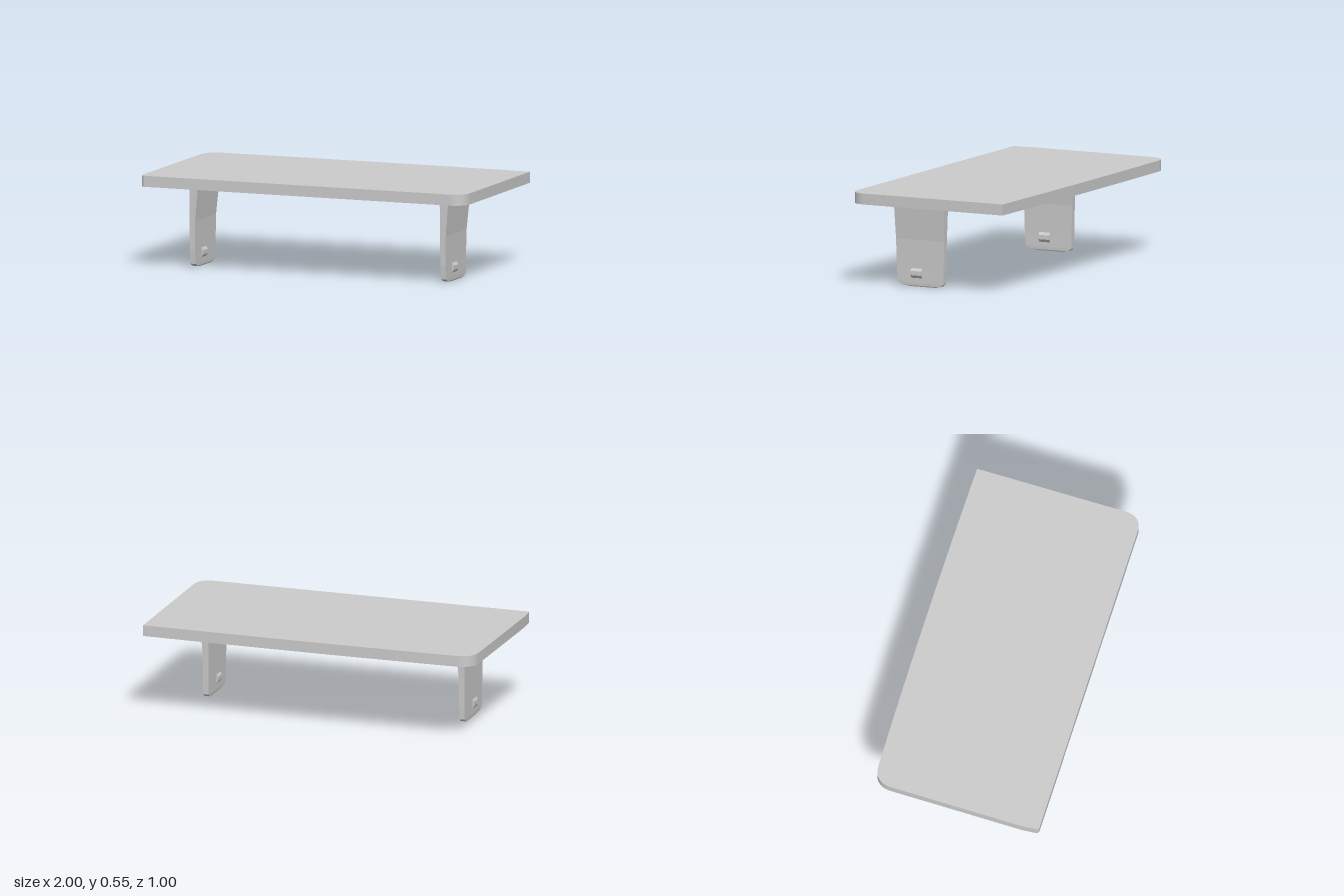
import * as THREE from 'three';
import { toCreasedNormals } from 'three/addons/utils/BufferGeometryUtils.js';

const material = new THREE.MeshStandardMaterial({ color: 0xcccccc });
const flatMaterial = new THREE.MeshStandardMaterial({ color: 0xcccccc, flatShading: true });

// Closed loft through rectangles listed bottom to top: [y, x0, x1, z0, z1]
function loft(rows) {
  const positions = [];
  const index = [];
  for (const [y, x0, x1, z0, z1] of rows) {
    positions.push(x0, y, z1, x1, y, z1, x1, y, z0, x0, y, z0);
  }
  for (let r = 0; r < rows.length - 1; r++) {
    for (let i = 0; i < 4; i++) {
      const a = r * 4 + i, b = r * 4 + (i + 1) % 4;
      index.push(a, b, b + 4, a, b + 4, a + 4);
    }
  }
  const t = (rows.length - 1) * 4;
  index.push(0, 2, 1, 0, 3, 2, t, t + 1, t + 2, t, t + 2, t + 3);
  const geometry = new THREE.BufferGeometry();
  geometry.setAttribute('position', new THREE.Float32BufferAttribute(positions, 3));
  geometry.setIndex(index);
  const flat = geometry.toNonIndexed();
  flat.computeVertexNormals();
  return flat;
}

function add(parent, name, geometry, mat = flatMaterial) {
  const mesh = new THREE.Mesh(geometry, mat);
  mesh.name = name;
  parent.add(mesh);
  return mesh;
}

// Slab with two rounded, diagonally opposite corners and a slightly bowed back edge
function tabletopGeometry() {
  const s = new THREE.Shape();
  s.moveTo(-0.98, -0.497);
  s.lineTo(0.9, -0.495);
  s.quadraticCurveTo(0.995, -0.495, 1, -0.4);
  s.lineTo(0.995, 0.493);
  s.quadraticCurveTo(0, 0.51, -0.89, 0.492);
  s.quadraticCurveTo(-0.985, 0.492, -0.997, 0.4);
  s.lineTo(-1, -0.4);
  s.lineTo(-0.993, -0.487);
  s.closePath();
  const g = new THREE.ExtrudeGeometry(s, { depth: 0.064, bevelEnabled: false, curveSegments: 12 });
  g.rotateX(-Math.PI / 2);
  g.translate(0, 0.483, 0);
  return toCreasedNormals(g, 0.6);
}

export function createModel() {
  const group = new THREE.Group();
  group.name = 'lowTable';
  add(group, 'tabletop', tabletopGeometry(), material);

  const sides = [
    { name: 'right', x: -0.763, flare: [-0.9, -0.5] },
    { name: 'left', x: 0.785, flare: [0.66, 0.95] },
  ];
  for (const { name, x, flare } of sides) {
    const leg = new THREE.Group();
    leg.name = name + 'Leg';
    group.add(leg);

    // Panel: chamfered foot, thickening towards the top on one face
    add(leg, 'legPanel', loft([
      [0, x - 0.011, x + 0.013, 0.05, 0.21],
      [0.006, x - 0.014, x + 0.016, 0.015, 0.255],
      [0.022, x - 0.015, x + 0.017, -0.006, 0.288],
      [0.1, x - 0.015, x + 0.017, -0.009, 0.294],
      [0.27, x - 0.016, x + 0.019, -0.012, 0.298],
      [0.475, x - 0.016, x + 0.038, -0.02, 0.302],
    ]));

    // Shallow pad blending the leg into the underside
    add(leg, 'underPad', loft([
      [0.467, x - 0.02, x + 0.04, -0.02, 0.3],
      [0.484, flare[0], flare[1], -0.46, 0.42],
    ]));

    // Small boss standing out from both faces near the foot
    add(leg, 'boss', loft([
      [0.045, x - 0.012, x + 0.014, 0.13, 0.2],
      [0.065, x - 0.024, x + 0.028, 0.13, 0.2],
      [0.09, x - 0.024, x + 0.028, 0.13, 0.2],
      [0.11, x - 0.012, x + 0.014, 0.13, 0.2],
    ]));
  }
  return group;
}
